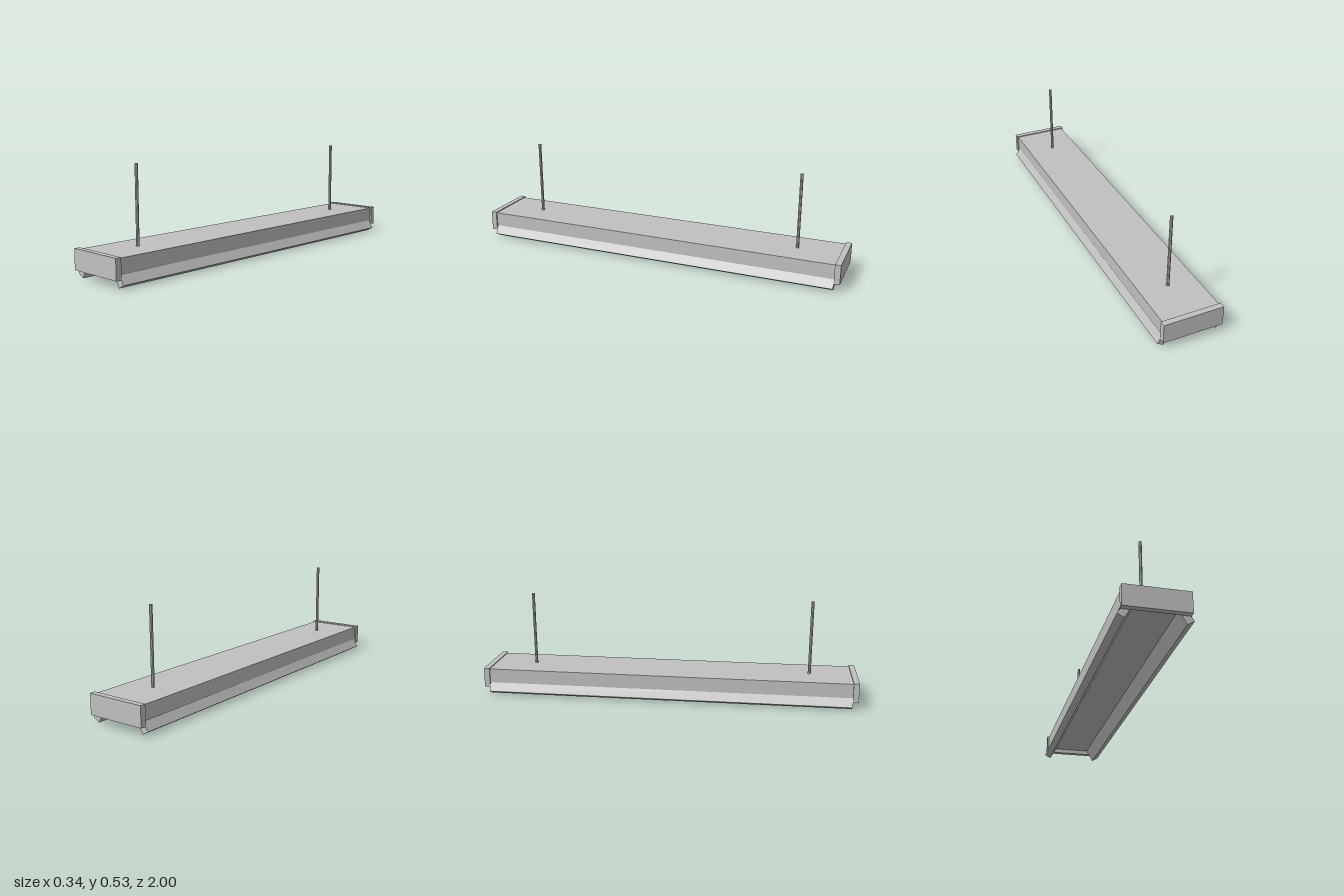
import * as THREE from 'three';

export function createModel() {
  const model = new THREE.Group();
  const grey = new THREE.MeshStandardMaterial({ color: 0xc0c0c0, flatShading: true });
  grey.name = 'grey metal';

  const add = (name, geometry, x, y, z) => {
    const mesh = new THREE.Mesh(geometry, grey);
    mesh.name = name;
    mesh.position.set(x, y, z);
    model.add(mesh);
    return mesh;
  };

  // Long flat housing, slightly narrower than its end caps
  add('housing', new THREE.BoxGeometry(0.296, 0.076, 1.94), 0, 0.102, 0);

  // End caps and hanging rods, one at each end
  for (const [end, s] of [['front', 1], ['back', -1]]) {
    add(end + 'EndCap', new THREE.BoxGeometry(0.312, 0.104, 0.03), 0, 0.093, s * 0.985);
    add(end + 'Rod', new THREE.CylinderGeometry(0.008, 0.008, 0.395, 8), 0, 0.3365, s * 0.75);
  }

  // Splayed side rails, their upper edges sunk into the housing
  const railLength = 0.08, tilt = Math.PI / 6;
  for (const [side, s] of [['left', 1], ['right', -1]]) {
    const rail = add(side + 'Rail', new THREE.BoxGeometry(0.0375, railLength, 1.94),
      s * (0.1525 - Math.sin(tilt) * railLength / 2),
      0.0094 + Math.cos(tilt) * railLength / 2, 0);
    rail.rotation.z = s * tilt;
  }

  return model;
}
